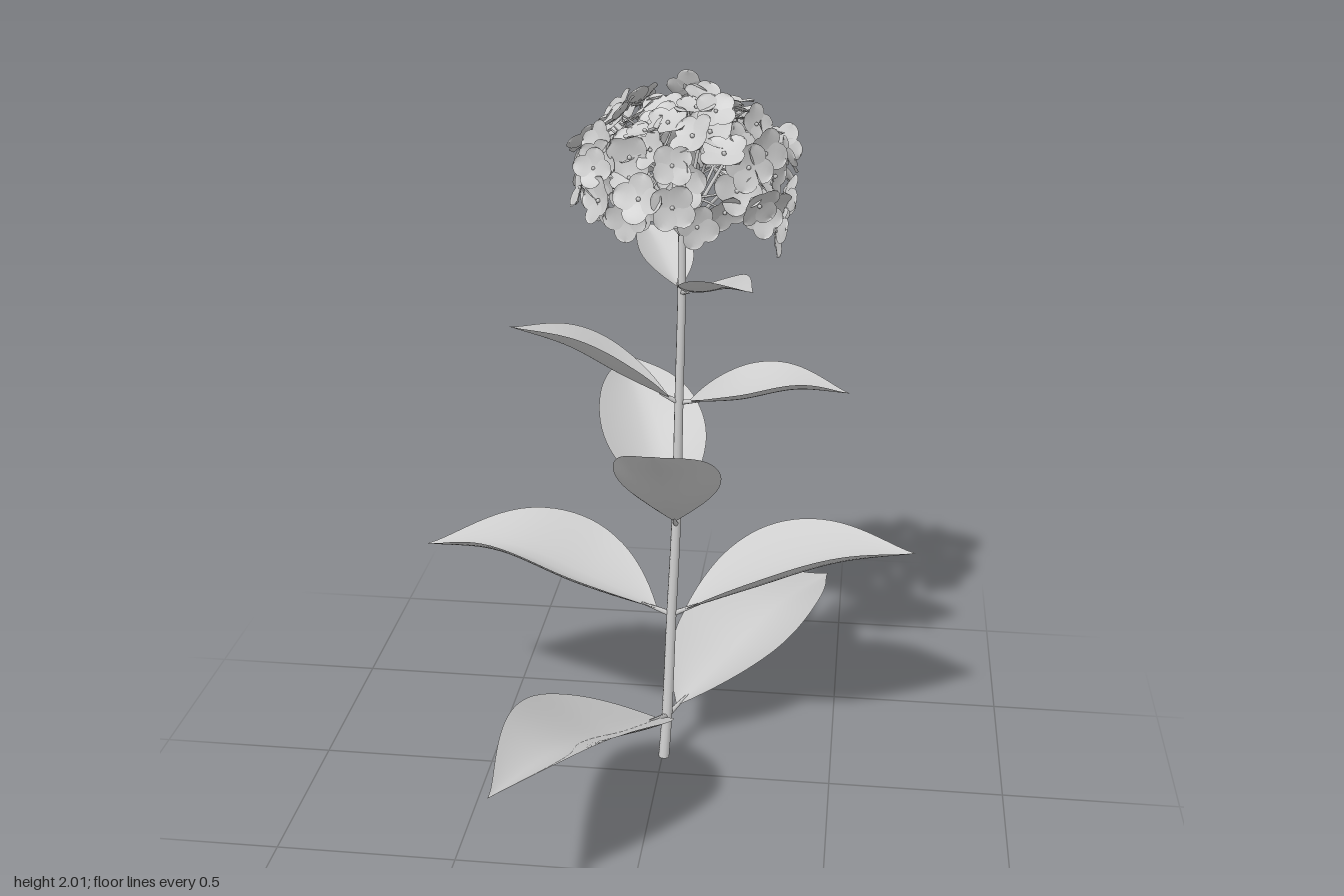
import * as THREE from 'three';
import { mergeGeometries } from 'three/addons/utils/BufferGeometryUtils.js';

const V = (x, y, z) => new THREE.Vector3(x, y, z);
const UP = V(0, 1, 0);
const material = new THREE.MeshStandardMaterial({ color: 0xcccccc, roughness: 0.8 });
const thin = new THREE.MeshStandardMaterial({ color: 0xcccccc, roughness: 0.8, side: THREE.DoubleSide });

function seeded(seed) {
  return () => {
    seed = (seed * 16807) % 2147483647;
    return seed / 2147483647;
  };
}

function named(name, geometry, mat) {
  const mesh = new THREE.Mesh(geometry, mat);
  mesh.name = name;
  return mesh;
}

// Surface grid: point(u, v) with u and v running 0..1
function surface(nu, nv, point) {
  const g = new THREE.PlaneGeometry(1, 1, nu, nv);
  const p = g.attributes.position;
  for (let i = 0; i < p.count; i++) {
    const q = point(p.getX(i) + 0.5, p.getY(i) + 0.5);
    p.setXYZ(i, q.x, q.y, q.z);
  }
  g.computeVertexNormals();
  return g;
}

// Tube whose radius shrinks from r0 to r1
function taperedTube(curve, segments, r0, r1, sides) {
  const g = new THREE.TubeGeometry(curve, segments, 1, sides);
  const p = g.attributes.position, q = V(0, 0, 0);
  for (let i = 0; i < p.count; i++) {
    const t = Math.floor(i / (sides + 1)) / segments;
    const c = curve.getPointAt(t);
    q.fromBufferAttribute(p, i).sub(c).multiplyScalar(r0 + (r1 - r0) * t).add(c);
    p.setXYZ(i, q.x, q.y, q.z);
  }
  return g;
}

// Leaf: midrib from node to tip through heights y1 and y2, upturned edges, rolled sideways
function leaf(name, node, tip, y1, y2, halfWidth, roll) {
  const a = node.clone().lerp(tip, 1 / 3).setY(y1);
  const b = node.clone().lerp(tip, 2 / 3).setY(y2);
  const rib = new THREE.CatmullRomCurve3([node, a, b, tip]);
  const side = V(0, 0, 0).crossVectors(tip.clone().sub(node).setY(0), UP).normalize();
  side.setY(roll).normalize();
  const blade = surface(12, 28, (u, v) => {
    const t = 0.06 + 0.94 * v;
    const w = halfWidth * 4.69 * v * Math.pow(1 - v, 1.25) + 0.004 * (1 - v);
    const normal = V(0, 0, 0).crossVectors(side, rib.getTangentAt(t)).normalize();
    const s = 2 * u - 1;
    return rib.getPointAt(t).addScaledVector(side, s * w)
      .addScaledVector(normal, 0.42 * w * Math.pow(Math.abs(s), 1.5));
  });
  const group = new THREE.Group();
  group.name = name;
  const stalk = new THREE.QuadraticBezierCurve3(node, rib.getPointAt(0.06), rib.getPointAt(0.12));
  group.add(named('leafBlade', blade, thin));
  group.add(named('leafStalk', taperedTube(stalk, 4, 0.009, 0.003, 6), material));
  return group;
}

// Floret of four round, gently cupped petals around a bead, facing +y
function floretGeometry(size) {
  const parts = [new THREE.SphereGeometry(size * 0.1, 6, 4).translate(0, size * 0.06, 0)];
  for (let k = 0; k < 4; k++) {
    const petal = surface(4, 8, (u, v) => {
      const s = 2 * u - 1;
      const w = 0.52 * size * Math.sin(Math.PI * v);
      const r = (1 - Math.cos(Math.PI * v)) / 2;
      return V(s * w, size * (0.3 * r * r - 0.2 * r ** 4 + 0.1 * s * s * r + 0.05 * (k % 2) * r), size * r);
    });
    parts.push(petal.rotateY(k * Math.PI / 2));
  }
  return mergeGeometries(parts);
}

function flowerHead(base) {
  const head = new THREE.Group();
  head.name = 'flowerHead';
  const rand = seeded(4711);
  const centre = V(0.04, 1.75, -0.2);
  const radii = V(0.275, 0.21, 0.255);
  const golden = Math.PI * (3 - Math.sqrt(5));
  const twigs = [], florets = [];

  // Main branches fanning out under the dome
  const forks = [];
  for (let i = 0; i < 13; i++) {
    const y = 0.95 - 1.3 * (i / 12), r = Math.sqrt(1 - y * y), f = i * golden;
    const d = V(r * Math.cos(f), y, r * Math.sin(f));
    const end = d.clone().multiply(radii).multiplyScalar(0.6).add(centre);
    const mid = base.clone().lerp(end, 0.5).add(V(0, 0.008, 0));
    twigs.push(taperedTube(new THREE.QuadraticBezierCurve3(base, mid, end), 4, 0.007, 0.004, 5));
    forks.push({ d, end });
  }

  // Florets spread over the dome, each on a fine stalk from the nearest branch
  const count = 104;
  for (let i = 0; i < count; i++) {
    const y = 0.98 - 1.42 * (i + 0.5) / count;
    const r = Math.sqrt(1 - y * y), f = i * golden + 0.5 * rand();
    const d = V(r * Math.cos(f), y, r * Math.sin(f));
    const p = d.clone().multiply(radii).multiplyScalar(0.8 + 0.27 * rand()).add(centre);
    // the rim sags towards the back left
    if (y < 0.05) p.y -= 0.6 * (0.05 - y) * Math.max(0, p.x - p.z - 0.28);
    const facing = d.clone().add(V(rand() - 0.5, rand() - 0.4, rand() - 0.5).multiplyScalar(1.15)).normalize();
    const turn = new THREE.Quaternion().setFromUnitVectors(UP, facing);
    turn.multiply(new THREE.Quaternion().setFromAxisAngle(UP, rand() * Math.PI));
    florets.push(floretGeometry(0.054 + 0.014 * rand())
      .applyMatrix4(new THREE.Matrix4().compose(p, turn, V(1, 1, 1))));
    const fork = forks.reduce((m, k) => (k.d.dot(d) > m.d.dot(d) ? k : m));
    const bend = fork.end.clone().lerp(p, 0.6).addScaledVector(facing, -0.02);
    twigs.push(taperedTube(new THREE.QuadraticBezierCurve3(fork.end, bend, p), 3, 0.004, 0.0025, 4));
  }
  head.add(named('flowerBranches', mergeGeometries(twigs), material));
  head.add(named('florets', mergeGeometries(florets), thin));
  return head;
}

export function createModel() {
  const plant = new THREE.Group();
  plant.name = 'floweringPlant';

  // Leaning stem with a closed foot
  const top = V(0.04, 1.58, -0.195);
  const stemPath = new THREE.CatmullRomCurve3([
    V(0.005, 0, -0.085), V(0.012, 0.13, -0.103), V(0.02, 0.45, -0.143),
    V(0.03, 0.73, -0.165), V(0.035, 1.1, -0.18), V(0.04, 1.42, -0.19), top,
  ]);
  plant.add(named('stem', taperedTube(stemPath, 40, 0.016, 0.011, 10), material));
  const foot = named('stemFoot', new THREE.CircleGeometry(0.016, 10), thin);
  foot.rotation.x = Math.PI / 2;
  foot.position.set(0.005, 0.001, -0.085);
  plant.add(foot);

  // Opposite leaf pairs, each turned a quarter from the pair below:
  // node, then tip, two midrib heights, half width and roll for each leaf
  const pairs = [
    [V(0.012, 0.13, -0.103), [V(-0.32, 0.44, 0.85), 0.26, 0.39, 0.18, 0], [V(0.46, 0.26, -0.85), 0.2, 0.265, 0.185, 0]],
    [V(0.02, 0.45, -0.143), [V(-0.73, 0.58, -0.26), 0.52, 0.595, 0.215, -0.1], [V(0.72, 0.65, -0.22), 0.545, 0.625, 0.205, 0.1]],
    [V(0.03, 0.73, -0.165), [V(0.025, 1.16, 0.36), 0.86, 1.025, 0.145, 0], [V(-0.21, 1.0, -0.85), 0.815, 0.935, 0.155, 0]],
    [V(0.035, 1.1, -0.18), [V(-0.42, 1.34, -0.075), 1.185, 1.28, 0.125, -0.12], [V(0.51, 1.11, -0.28), 1.105, 1.13, 0.125, 0.05]],
    [V(0.04, 1.42, -0.19), [V(0.26, 1.54, 0.17), 1.46, 1.51, 0.075, 0], [V(-0.1, 1.53, -0.48), 1.46, 1.51, 0.075, 0]],
  ];
  pairs.forEach(([node, ...leaves], i) => leaves.forEach((shape, k) => {
    plant.add(leaf(`leaf${i + 1}${k ? 'B' : 'A'}`, node, ...shape));
  }));

  plant.add(flowerHead(top));
  return plant;
}
